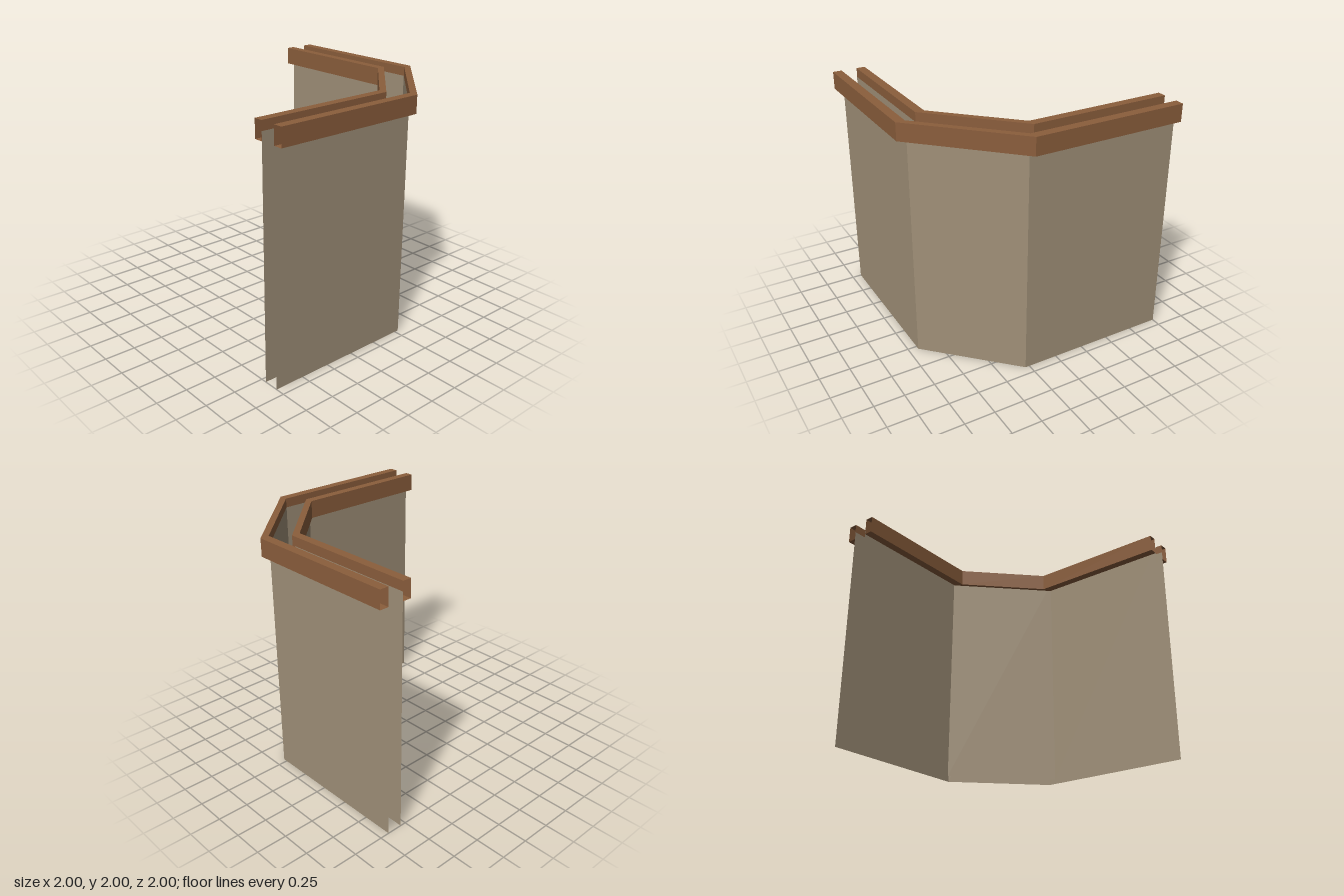
import * as THREE from 'three';

const wood = new THREE.MeshStandardMaterial({ color: 0x8b5e3c, side: THREE.DoubleSide });
wood.name = 'brown wood';
const cloth = new THREE.MeshStandardMaterial({ color: 0xa09078, side: THREE.DoubleSide });
cloth.name = 'beige panel';

// Flat-faced strips joining neighbouring rails; each rail is a list of points of equal length
function strips(rails, closed) {
  const pos = [];
  const count = closed ? rails.length : rails.length - 1;
  for (let r = 0; r < count; r++) {
    const a = rails[r], b = rails[(r + 1) % rails.length];
    for (let i = 0; i < a.length - 1; i++) {
      pos.push(...a[i], ...a[i + 1], ...b[i + 1], ...a[i], ...b[i + 1], ...b[i]);
    }
  }
  const geo = new THREE.BufferGeometry();
  geo.setAttribute('position', new THREE.Float32BufferAttribute(pos, 3));
  geo.computeVertexNormals();
  return geo;
}

// Plan path: along the back, across the chamfered corner, then forward along the side
const path = (d, corner) => [[-1, -d], [corner, -d], [d, -corner], [d, 1]];
const rail = (plan, y) => plan.map(([x, z]) => [x, y, z]);

function addMesh(group, name, geo, material) {
  const mesh = new THREE.Mesh(geo, material);
  mesh.name = name;
  group.add(mesh);
}

export function createModel() {
  const group = new THREE.Group();
  group.name = 'corneredScreen';

  const layers = [
    { name: 'outer', far: 1, near: 0.926, corner: 0.283, sheet: 0.923, sheetCorner: 0.285 },
    { name: 'inner', far: 0.796, near: 0.725, corner: 0.172, sheet: 0.798, sheetCorner: 0.14 },
  ];

  for (const l of layers) {
    // Hollow top rail, open at both ends
    const out = path(l.far, l.corner), inn = path(l.near, l.corner);
    addMesh(group, l.name + 'Rail', strips([
      rail(out, 1.855), rail(inn, 1.855), rail(inn, 2), rail(out, 2),
    ], true), wood);

    // Thin hanging panel reaching up to the middle of the rail
    const plan = path(l.sheet, l.sheetCorner);
    addMesh(group, l.name + 'Panel', strips([rail(plan, 0), rail(plan, 1.925)], false), cloth);
  }
  return group;
}
